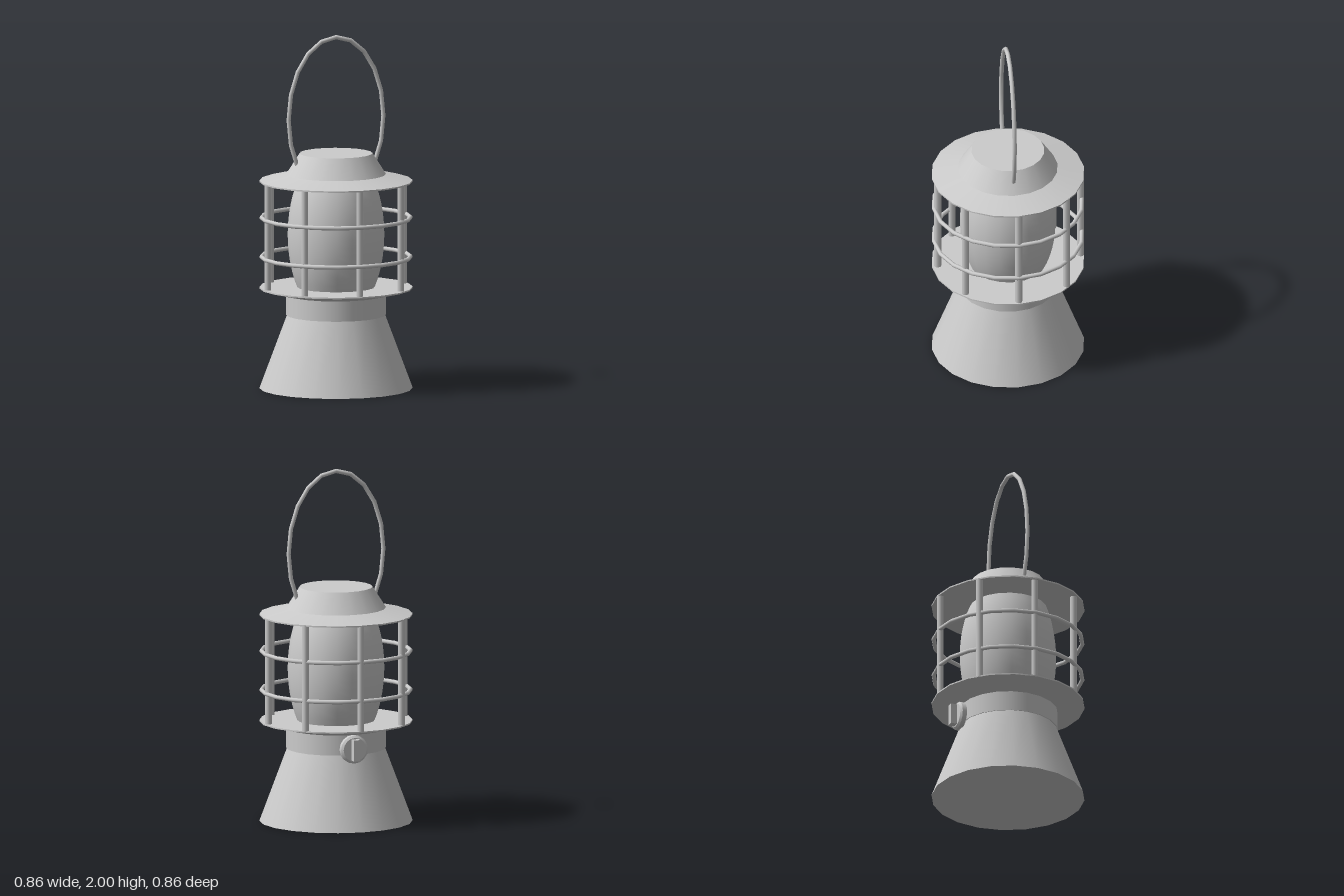
import * as THREE from 'three';

const SIDES = 20;
const material = new THREE.MeshStandardMaterial({ color: 0xcccccc });

function add(parent, name, geometry, x = 0, y = 0, z = 0) {
  const mesh = new THREE.Mesh(geometry, material);
  mesh.name = name;
  mesh.position.set(x, y, z);
  parent.add(mesh);
  return mesh;
}

// Upright frustum between two heights
function frustum(parent, name, rBottom, rTop, y0, y1) {
  return add(parent, name, new THREE.CylinderGeometry(rTop, rBottom, y1 - y0, SIDES), 0, (y0 + y1) / 2, 0);
}

// Elliptical handle arc, stepped evenly by angle
class HandleCurve extends THREE.Curve {
  getPoint(t, target = new THREE.Vector3()) {
    const a = THREE.MathUtils.degToRad(-36 + 252 * t);
    return target.set(0.282 * Math.cos(a), 1.53 + 0.457 * Math.sin(a), 0);
  }
  getPointAt(t, target) { return this.getPoint(t, target); }
  getTangentAt(t, target) { return this.getTangent(t, target); }
}

export function createModel() {
  const lantern = new THREE.Group();
  lantern.name = 'lantern';

  // Fuel base and neck
  frustum(lantern, 'base', 0.43, 0.275, 0, 0.415);
  frustum(lantern, 'neck', 0.279, 0.279, 0.415, 0.535);

  // Lower dish and upper hood, each with a thin rim
  frustum(lantern, 'lowerDish', 0.28, 0.43, 0.53, 0.565);
  frustum(lantern, 'lowerRim', 0.43, 0.43, 0.565, 0.573);
  frustum(lantern, 'upperRim', 0.43, 0.43, 1.168, 1.176);
  frustum(lantern, 'hood', 0.43, 0.28, 1.176, 1.212);
  frustum(lantern, 'cap', 0.28, 0.205, 1.212, 1.33);

  // Glass globe, cut off by the dish and the hood
  const profile = [];
  for (let i = 0; i <= 14; i++) {
    const y = 0.565 + (0.61 * i) / 14;
    profile.push(new THREE.Vector2(0.271 * Math.sqrt(1 - ((y - 0.87) / 0.5) ** 2), y));
  }
  add(lantern, 'globe', new THREE.LatheGeometry(profile, SIDES));

  // Guard cage: eight bars and two rings
  const cage = new THREE.Group();
  cage.name = 'cage';
  lantern.add(cage);
  const barGeometry = new THREE.CylinderGeometry(0.02, 0.02, 0.605, 8);
  for (let i = 0; i < 8; i++) {
    const a = (i * Math.PI) / 4;
    add(cage, 'cageBar', barGeometry, 0.404 * Math.sin(a), 0.871, 0.404 * Math.cos(a) - 0.007);
  }
  const ringGeometry = new THREE.TorusGeometry(0.418, 0.012, 8, SIDES).rotateX(Math.PI / 2);
  for (const y of [0.743, 0.965]) add(cage, 'cageRing', ringGeometry, 0, y, 0);

  // Wick knob at the back
  const knob = new THREE.Group();
  knob.name = 'wickKnob';
  knob.position.set(0, 0.452, 0);
  lantern.add(knob);
  const disc = (rBack, rFront, depth) => new THREE.CylinderGeometry(rBack, rFront, depth, 16).rotateX(-Math.PI / 2);
  add(knob, 'knobShaft', disc(0.03, 0.03, 0.06), 0, 0, -0.26);
  add(knob, 'knobDisc', disc(0.08, 0.08, 0.026), 0, 0, -0.295);
  add(knob, 'knobBevel', disc(0.068, 0.08, 0.01), 0, 0, -0.313);
  add(knob, 'knobGrip', new THREE.BoxGeometry(0.04, 0.12, 0.04), 0, 0, -0.334);

  // Carrying handle with closed ends
  const curve = new HandleCurve();
  add(lantern, 'handle', new THREE.TubeGeometry(curve, 14, 0.0125, 8, false));
  for (const t of [0, 1]) {
    const p = curve.getPoint(t);
    add(lantern, 'handleEnd', new THREE.SphereGeometry(0.0125, 8, 6), p.x, p.y, p.z);
  }
  return lantern;
}
